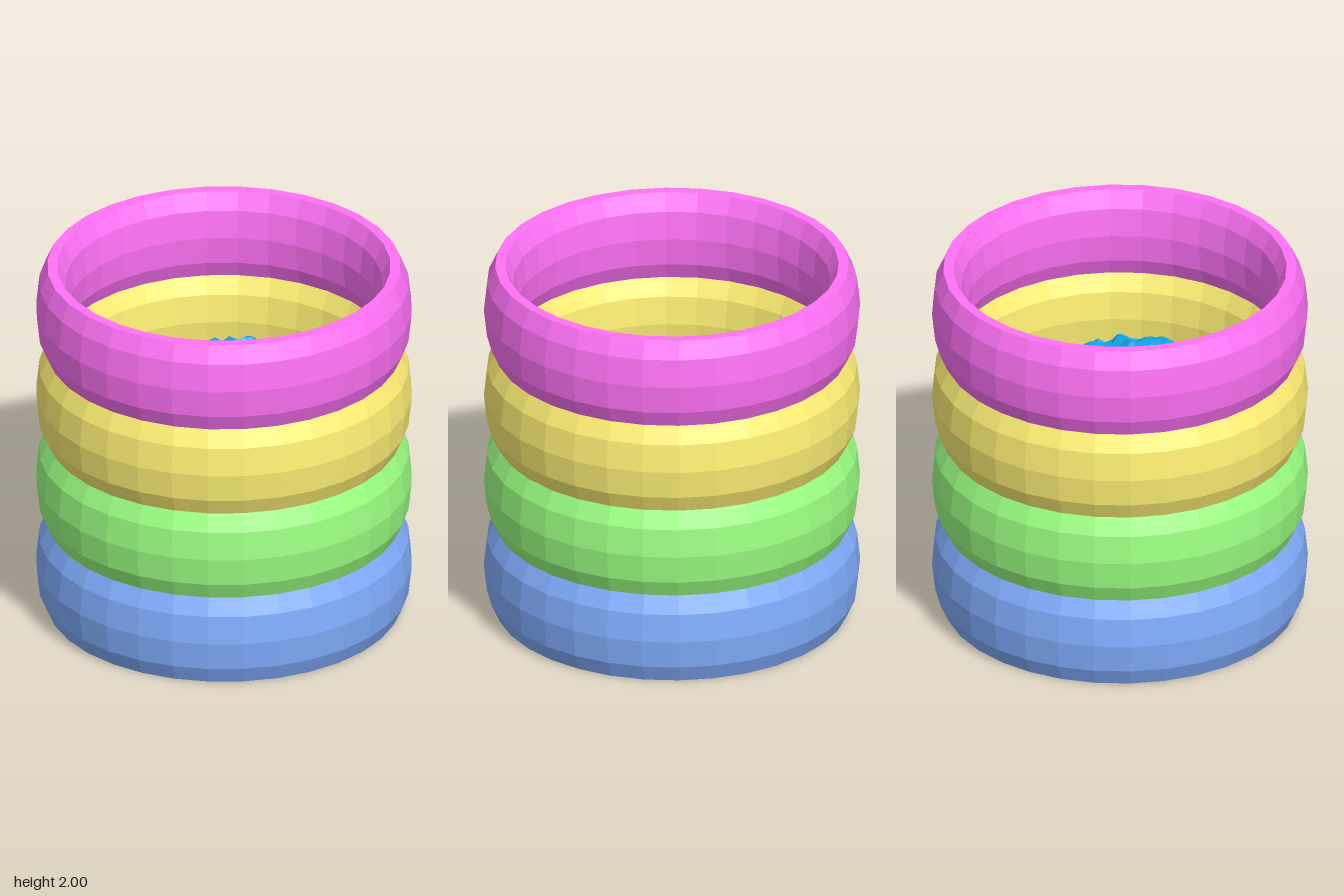
import * as THREE from 'three';

const RING_R = 0.913, TUBE_X = 0.087, TUBE_Y = 0.263, RING_H = 0.5;
const WATER_R = 0.876, WATER_Y = 1.12;

function material(color, side = THREE.FrontSide) {
  return new THREE.MeshStandardMaterial({ color, flatShading: true, side });
}

// Repeatable noise in -1..1 for a grid corner
function noise(i, j) {
  const s = Math.sin(i * 127.1 + j * 311.7) * 43758.5453;
  return (s - Math.floor(s)) * 2 - 1;
}

// Inflated ring: a ten-sided oval tube with a flat top and bottom
function ringGeometry() {
  const profile = [];
  for (let k = 0; k <= 10; k++) {
    const a = (k * 36 * Math.PI) / 180;
    profile.push(new THREE.Vector2(RING_R + TUBE_X * Math.cos(a), TUBE_Y * Math.sin(a)));
  }
  return new THREE.LatheGeometry(profile, 32);
}

// Choppy surface: a height grid cut to a circle
function rippleGeometry() {
  const n = 32, cell = (2 * WATER_R) / n;
  const positions = [], index = [], outside = [];
  for (let j = 0; j <= n; j++) {
    for (let i = 0; i <= n; i++) {
      let x = -WATER_R + i * cell, z = -WATER_R + j * cell;
      const r = Math.hypot(x, z);
      outside.push(r > WATER_R);
      if (r > WATER_R) { x *= WATER_R / r; z *= WATER_R / r; }
      const swell = 0.02 * Math.sin(x * 5 + z * 9) + 0.015 * Math.cos(x * 7 - z * 6);
      positions.push(x, WATER_Y + swell + 0.035 * noise(i, j), z);
    }
  }
  for (let j = 0; j < n; j++) {
    for (let i = 0; i < n; i++) {
      const a = j * (n + 1) + i, b = a + 1, c = a + n + 1, d = c + 1;
      if (outside[a] && outside[b] && outside[c] && outside[d]) continue;
      if (noise(j + 50, i) > 0) index.push(a, c, b, b, c, d);
      else index.push(a, c, d, a, d, b);
    }
  }
  const g = new THREE.BufferGeometry();
  g.setAttribute('position', new THREE.Float32BufferAttribute(positions, 3));
  g.setIndex(index);
  g.computeVertexNormals();
  return g;
}

export function createModel() {
  const model = new THREE.Group();
  model.name = 'paddlingPool';

  // Four stacked wall rings
  const tube = ringGeometry();
  const rings = [
    ['blueRing', 0x82aeff], ['greenRing', 0x9bff82],
    ['yellowRing', 0xfff075], ['pinkRing', 0xff72f7],
  ];
  rings.forEach(([name, color], k) => {
    const ring = new THREE.Mesh(tube, material(color, THREE.DoubleSide));
    ring.name = name;
    ring.position.y = RING_H * (k + 0.5);
    model.add(ring);
  });

  // Water: rippled top, straight sides and flat floor
  const water = new THREE.Group();
  water.name = 'water';
  const blue = material(0x10a5ea, THREE.DoubleSide);
  const surface = new THREE.Mesh(rippleGeometry(), blue);
  surface.name = 'waterSurface';
  const sides = new THREE.Mesh(new THREE.CylinderGeometry(WATER_R, WATER_R, WATER_Y, 32, 1, true), blue);
  sides.name = 'waterSides';
  sides.position.y = WATER_Y / 2;
  const floor = new THREE.Mesh(new THREE.CircleGeometry(WATER_R, 32), blue);
  floor.name = 'poolFloor';
  floor.rotation.x = Math.PI / 2;
  water.add(surface, sides, floor);
  model.add(water);

  return model;
}
